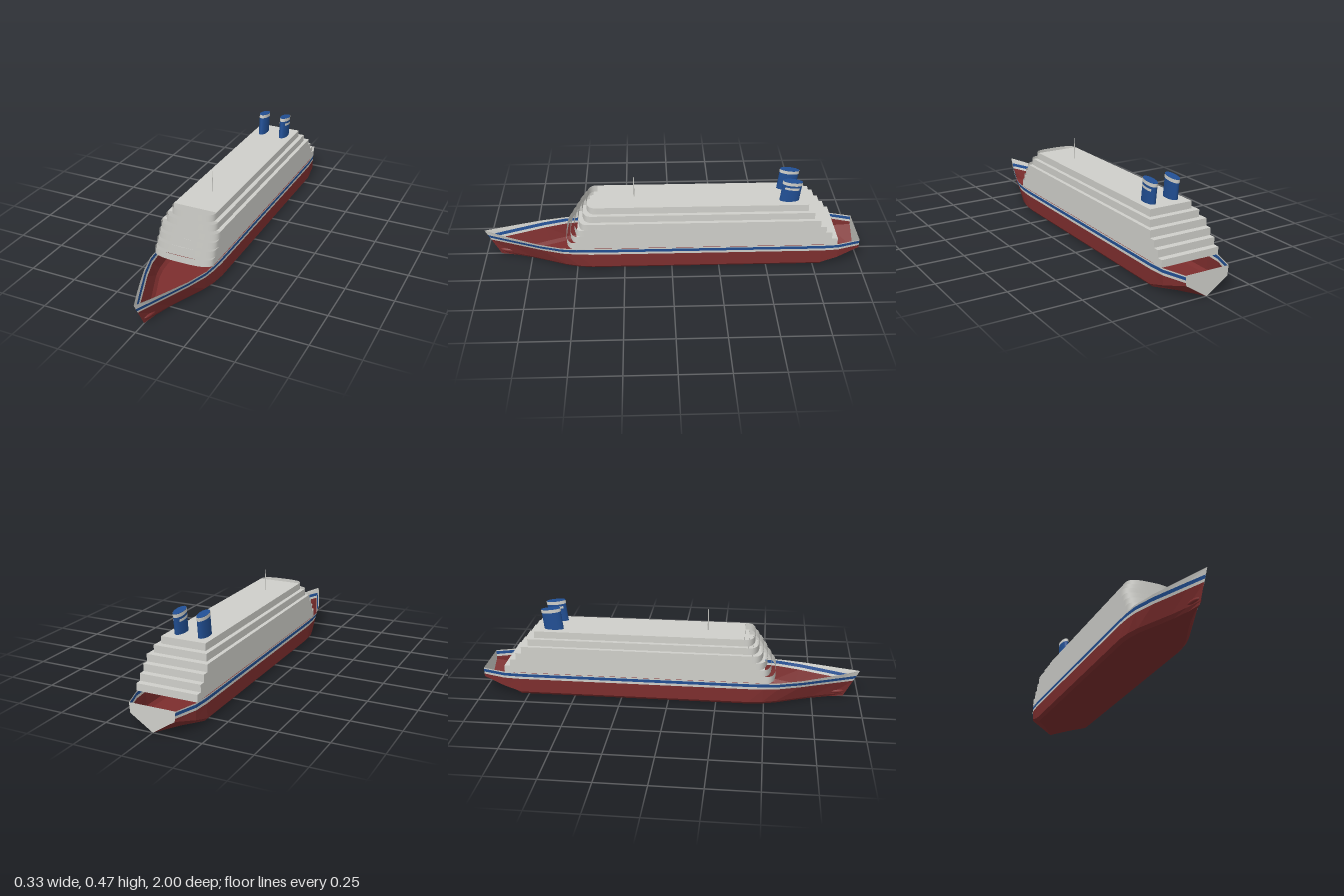
import * as THREE from 'three';

const mat = (name, color) => {
  const m = new THREE.MeshStandardMaterial({ color, side: THREE.DoubleSide });
  m.name = name;
  return m;
};

// Hull stations, stern to bow: [zTop, zBottom, topHalfWidth, bilgeHalfWidth, bilgeInset, bilgeHeight, sheerHeight]
const STATIONS = [
  [-1, -1, 0.12, 0.115, 0.115, 0.075, 0.126],
  [-0.88, -0.88, 0.157, 0.155, 0.08, 0.042, 0.126],
  [-0.79, -0.79, 0.163, 0.163, 0.015, 0.016, 0.126],
  [0.42, 0.42, 0.163, 0.163, 0.015, 0.016, 0.126],
  [0.5, 0.49, 0.161, 0.155, 0.015, 0.016, 0.126],
  [0.58, 0.56, 0.154, 0.136, 0.015, 0.016, 0.127],
  [0.7, 0.66, 0.121, 0.094, 0.015, 0.016, 0.131],
  [0.8, 0.75, 0.083, 0.056, 0.012, 0.016, 0.136],
  [0.9, 0.84, 0.043, 0.024, 0.008, 0.016, 0.141],
  [1, 0.92, 0, 0, 0, 0.016, 0.148],
];

// Half cross-section from keel up to the rim
function section([zT, zB, wT, wB, inset, yB, sheer]) {
  const at = (y) => {
    const t = (y - yB) / (sheer - yB);
    return [wB + (wT - wB) * t, y];
  };
  const pts = [[0, 0], [wB - inset, 0], at(yB), at(0.09), at(0.103), at(0.119), at(sheer)];
  return pts.map(([x, y]) => new THREE.Vector3(x, y, zB + (zT - zB) * y / sheer));
}

// Band of hull plating between two section rows, on both sides
function plating(sections, r0, r1) {
  const pos = [];
  const tri = (a, b, c) => {
    for (const p of [a, b, c]) pos.push(p.x, p.y, p.z);
    for (const p of [a, c, b]) pos.push(-p.x, p.y, p.z);
  };
  for (let s = 0; s < sections.length - 1; s++) {
    for (let r = r0; r < r1; r++) {
      const a = sections[s][r], b = sections[s][r + 1];
      const c = sections[s + 1][r + 1], d = sections[s + 1][r];
      tri(a, b, c);
      tri(a, c, d);
    }
  }
  const g = new THREE.BufferGeometry();
  g.setAttribute('position', new THREE.Float32BufferAttribute(pos, 3));
  g.computeVertexNormals();
  return g;
}

// Open wall bulging forward with rounded ends
function bowedWall(w, h, depth) {
  const g = new THREE.PlaneGeometry(2, h, 32, 1);
  const p = g.attributes.position;
  for (let i = 0; i < p.count; i++) {
    const u = p.getX(i) * Math.PI / 2, s = Math.sin(u);
    p.setX(i, w * Math.sign(s) * Math.abs(s) ** 0.7);
    p.setZ(i, depth * Math.max(0, Math.cos(u)) ** 0.7);
  }
  g.computeVertexNormals();
  return g;
}

export function createModel() {
  const ship = new THREE.Group();
  ship.name = 'cruiseShip';
  const red = mat('hullRed', 0x7d2e2e);
  const white = mat('offWhite', 0xcfcfca);
  const blue = mat('stripeBlue', 0x214f94);

  const add = (name, geo, material, parent = ship, x = 0, y = 0, z = 0) => {
    const m = new THREE.Mesh(geo, material);
    m.name = name;
    m.position.set(x, y, z);
    parent.add(m);
    return m;
  };

  // Open hull shell with painted bands
  const sections = STATIONS.map(section);
  add('lowerHull', plating(sections, 0, 3), red);
  add('lowerWhiteBand', plating(sections, 3, 4), white);
  add('blueBand', plating(sections, 4, 5), blue);
  add('bulwark', plating(sections, 5, 6), white);

  // Flat transom closing the stern
  const half = sections[0];
  const outline = [...half.slice(1), ...half.slice(1).reverse().map((p) => new THREE.Vector3(-p.x, p.y, p.z))];
  const transom = new THREE.ShapeGeometry(new THREE.Shape(outline.map((p) => new THREE.Vector2(p.x, p.y))));
  add('transom', transom.rotateY(Math.PI), white, ship, 0, 0, -1);

  // Bulb inside the forefoot
  const bulb = add('bowBulb', new THREE.SphereGeometry(1, 24, 16), red, ship, 0, 0.031, 0.85);
  bulb.scale.set(0.026, 0.016, 0.075);

  // Stepped superstructure: a box and a bowed front wall per deck
  const widths = [0.16, 0.16, 0.16, 0.16, 0.14, 0.118];
  const deckH = 0.037;
  widths.forEach((w, i) => {
    const y = 0.126 + deckH * (i + 0.5);
    const front = 0.502 - i * 0.0225, back = -0.873 + i * 0.032;
    add('deck' + (i + 1), new THREE.BoxGeometry(w * 2, deckH, front - back), white, ship, 0, y, (front + back) / 2);
    add('deckFront' + (i + 1), bowedWall(w, deckH, 0.056), white, ship, 0, y, front);
  });

  // Mast
  add('mast', new THREE.CylinderGeometry(0.0015, 0.0035, 0.116, 10), white, ship, 0, 0.405, 0.195);

  // Twin oval funnels leaning aft
  const ellipse = (r, h, open, start = 0, len = Math.PI * 2) =>
    new THREE.CylinderGeometry(r, r, h, 40, 1, open, start, len).scale(0.0235, 1, 0.051);
  for (const side of [1, -1]) {
    const funnel = new THREE.Group();
    funnel.name = side > 0 ? 'leftFunnel' : 'rightFunnel';
    funnel.position.set(side * 0.063, 0.338, -0.615);
    funnel.rotation.x = -0.12;
    ship.add(funnel);
    add('funnelBody', ellipse(1, 0.122, false), blue, funnel, 0, 0.061, 0);
    add('funnelBand', ellipse(1.03, 0.018, true), white, funnel, 0, 0.112, 0);
    // Short stripes on both flanks of the left funnel
    if (side > 0) {
      for (const a of [Math.PI / 2, -Math.PI / 2]) {
        add('funnelStripe', ellipse(1.04, 0.013, true, a - 0.8, 1.6), white, funnel, 0, 0.085, 0);
      }
    }
  }
  return ship;
}
